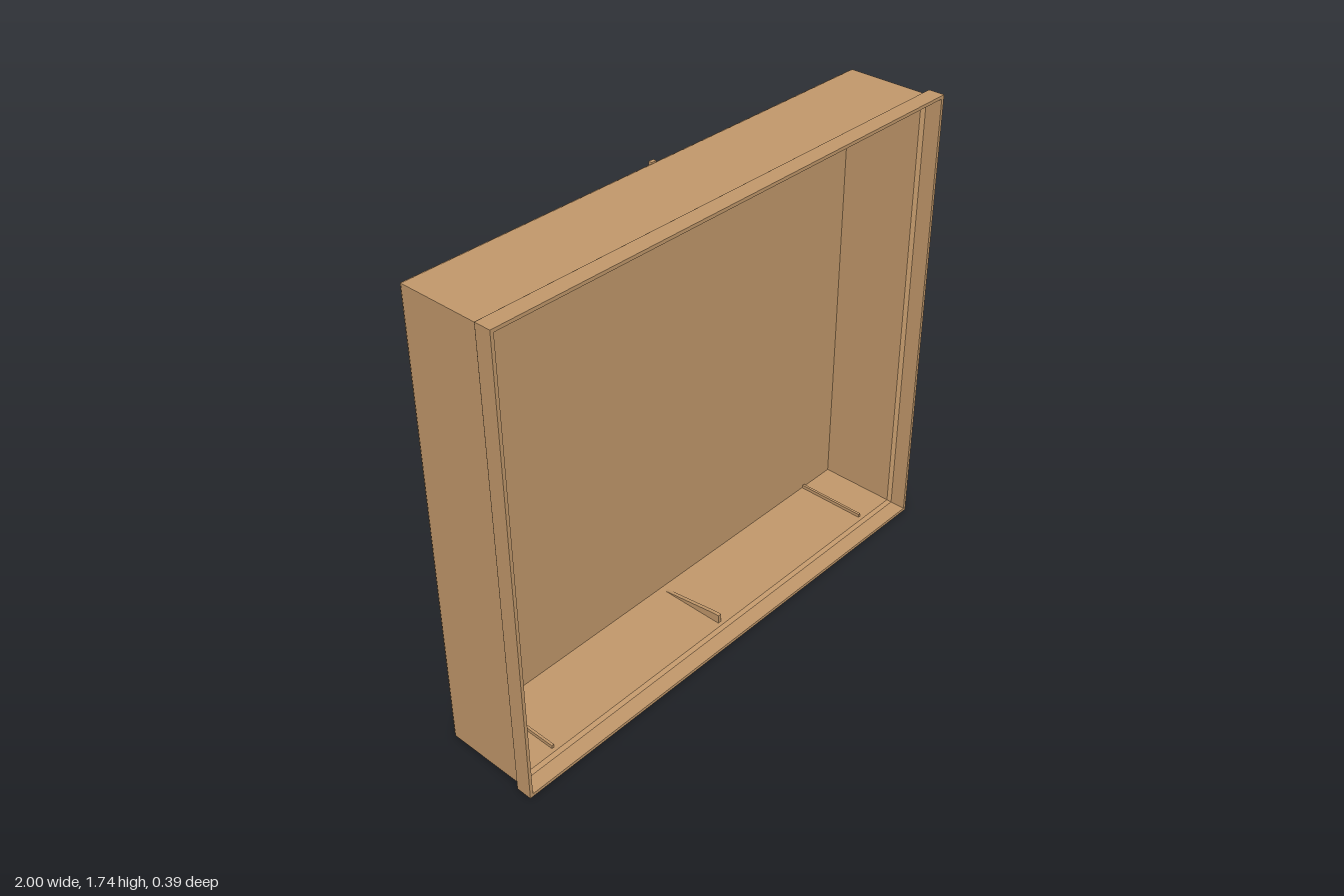
import * as THREE from 'three';

const W = 1, H = 0.87; // half width and half height of the rim
const material = new THREE.MeshStandardMaterial({ color: 0xc49a6c, flatShading: true, side: THREE.DoubleSide });

// Rectangular rings [inset, z] joined in order, closed at both ends
function ringShell(rings) {
  const pos = [], index = [];
  for (const [inset, z] of rings) {
    const w = W - inset, h = H - inset;
    pos.push(-w, H - h, z, w, H - h, z, w, H + h, z, -w, H + h, z);
  }
  for (let r = 0; r < rings.length - 1; r++) {
    for (let i = 0; i < 4; i++) {
      const a = r * 4 + i, b = r * 4 + (i + 1) % 4;
      index.push(a, b, b + 4, a, b + 4, a + 4);
    }
  }
  const e = (rings.length - 1) * 4;
  index.push(0, 2, 1, 0, 3, 2, e, e + 1, e + 2, e, e + 2, e + 3);
  const g = new THREE.BufferGeometry();
  g.setAttribute('position', new THREE.Float32BufferAttribute(pos, 3));
  g.setIndex(index);
  const flat = g.toNonIndexed();
  flat.computeVertexNormals();
  return flat;
}

export function createModel() {
  const model = new THREE.Group();
  model.name = 'tray';

  function add(name, geometry, x = 0, y = 0, z = 0, parent = model) {
    const mesh = new THREE.Mesh(geometry, material);
    mesh.name = name;
    mesh.position.set(x, y, z);
    parent.add(mesh);
    return mesh;
  }

  // Hollow tray: chamfered back, straight walls, flared rim with an inner ledge
  add('trayShell', ringShell([
    [0.018, -0.187], [0.012, -0.175], [0.012, 0.122], [0.002, 0.134],
    [0, 0.138], [0, 0.197],
    [0.012, 0.197], [0.012, 0.137], [0.024, 0.125], [0.024, -0.172],
  ]));

  // Tapered gusset, tallest near the rim, and slim ribs along floor and ceiling
  const wedge = new THREE.Shape([
    new THREE.Vector2(-0.11, 0), new THREE.Vector2(0.15, 0),
    new THREE.Vector2(-0.09, 0.034), new THREE.Vector2(-0.11, 0.034),
  ]);
  const wedgeGeometry = new THREE.ExtrudeGeometry(wedge, { depth: 0.014, bevelEnabled: false });
  wedgeGeometry.translate(0, 0, -0.007).rotateY(Math.PI / 2);

  for (const side of [-1, 1]) {
    const edge = new THREE.Group();
    edge.name = side < 0 ? 'bottomDetails' : 'topDetails';
    edge.position.y = H;
    model.add(edge);

    const gusset = add('centreGusset', wedgeGeometry, 0, side * (H - 0.024), 0, edge);
    if (side > 0) gusset.rotation.z = Math.PI;
    add('centreNub', new THREE.BoxGeometry(0.02, 0.012, 0.014), 0, side * (H - 0.013), -0.183, edge);

    for (const x of [-1, 1]) {
      add('innerRib', new THREE.BoxGeometry(0.01, 0.014, 0.28), x * 0.817, side * (H - 0.03), -0.03, edge);

      // L-shaped ridges and small pips on the back
      add('backRidgeLong', new THREE.BoxGeometry(0.66, 0.012, 0.012), x * 0.575, side * 0.726, -0.191, edge);
      add('backRidgeShort', new THREE.BoxGeometry(0.012, 0.09, 0.012), x * 0.251, side * 0.765, -0.191, edge);
      const pip = add('backPip', new THREE.CylinderGeometry(0.005, 0.005, 0.006, 8), x * 0.46, side * 0.43, -0.187, edge);
      pip.rotation.x = Math.PI / 2;
    }
  }
  return model;
}
